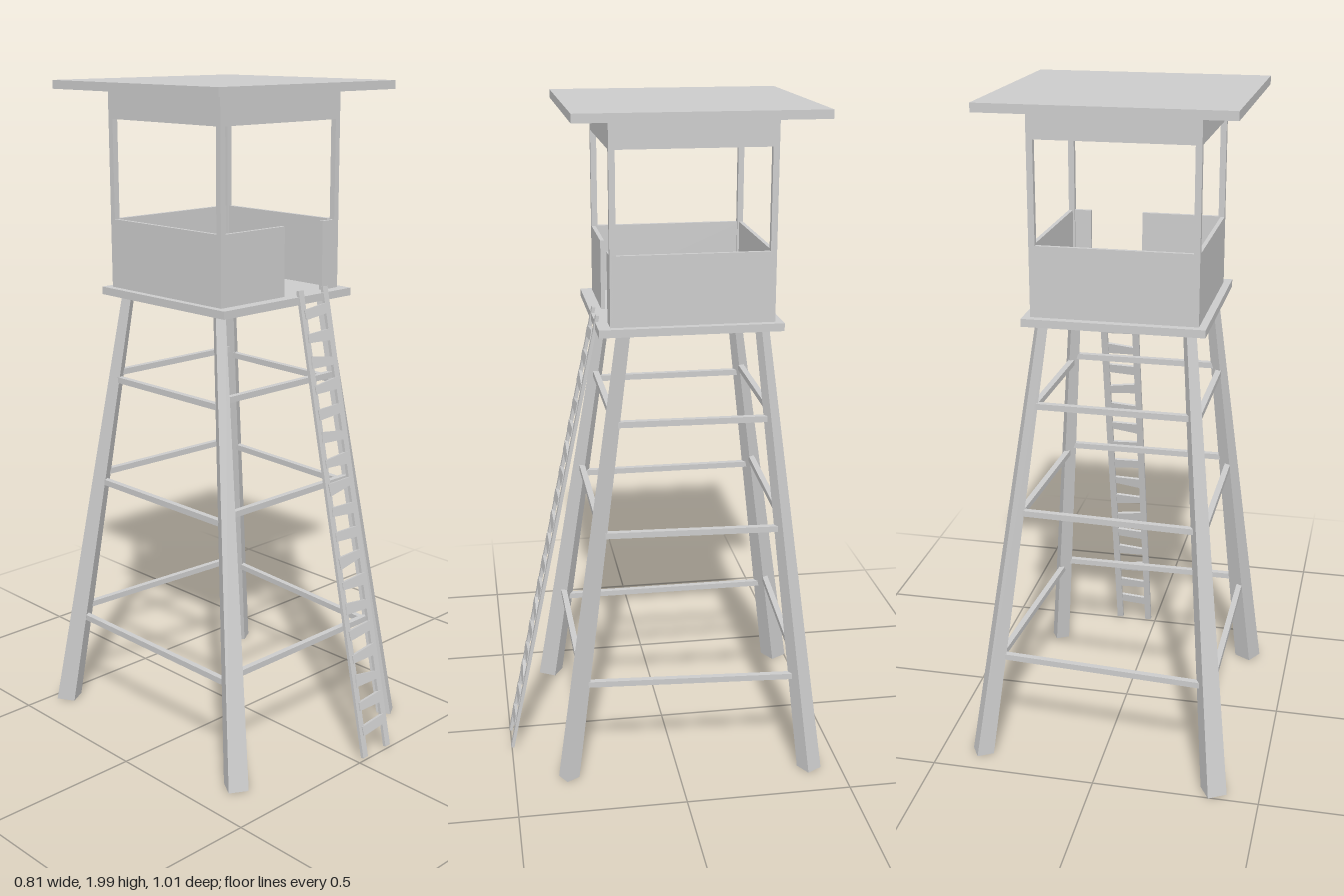
import * as THREE from 'three';

const mat = new THREE.MeshStandardMaterial({ color: 0xcccccc, flatShading: true });
const V = (x, y, z) => new THREE.Vector3(x, y, z);

export function createModel() {
  const root = new THREE.Group();
  const add = (name, geo, parent = root) => {
    const m = new THREE.Mesh(geo, mat);
    m.name = name;
    parent.add(m);
    return m;
  };
  const group = (name) => {
    const g = new THREE.Group();
    g.name = name;
    root.add(g);
    return g;
  };
  // box given by its min and max on each axis
  const block = (name, x0, x1, y0, y1, z0, z1, parent) => {
    const m = add(name, new THREE.BoxGeometry(x1 - x0, y1 - y0, z1 - z0), parent);
    m.position.set((x0 + x1) / 2, (y0 + y1) / 2, (z0 + z1) / 2);
    return m;
  };
  // square bar running between two points
  const bar = (name, a, b, w, d, parent) => {
    const m = add(name, new THREE.BoxGeometry(w, d, a.distanceTo(b)), parent);
    m.position.copy(a).add(b).multiplyScalar(0.5);
    m.lookAt(b);
    return m;
  };

  // roof and platform
  block('roof', -0.375, 0.33, 1.975, 2, -0.415, 0.29);
  block('platform', -0.287, 0.237, 1.37, 1.393, -0.32, 0.215);

  // cabin: corner posts, low walls with a door gap, band under the roof
  const cabin = group('cabin');
  const X0 = -0.265, X1 = 0.215, Z0 = -0.297, Z1 = 0.18, P = 0.018, T = 0.012;
  for (const x of [X0, X1 - P])
    for (const z of [Z0, Z1 - P]) block('cornerPost', x, x + P, 1.393, 1.975, z, z + P, cabin);
  const F = 1.393, W = 1.598;
  block('backWall', X0, X1, F, W, Z0, Z0 + T, cabin);
  block('rightWall', X0, X0 + T, F, W, Z0, Z1, cabin);
  block('leftWall', X1 - T, X1, F, W, Z0, Z1, cabin);
  block('frontWallRight', X0, -0.013, F, W, Z1 - T, Z1, cabin);
  block('frontWallLeft', 0.147, X1, F, W, Z1 - T, Z1, cabin);
  for (const z of [Z0, Z1 - T]) block('upperBand', X0, X1, 1.89, 1.975, z, z + T, cabin);
  for (const x of [X0, X1 - T]) block('upperBandSide', x, x + T, 1.89, 1.975, Z0, Z1, cabin);

  // splayed legs: foot centre, top centre, foot width, plan angle of the square section
  const A = Math.PI / 6;
  const legs = [
    { foot: V(-0.362, 0, 0.338), top: V(-0.234, 1.37, 0.14), w: 0.06, a: -A },
    { foot: V(0.311, 0, 0.335), top: V(0.19, 1.37, 0.14), w: 0.045, a: A },
    { foot: V(0.37, 0, -0.405), top: V(0.19, 1.37, -0.265), w: 0.052, a: A },
    { foot: V(-0.362, 0, -0.462), top: V(-0.234, 1.37, -0.262), w: 0.06, a: A },
  ];
  const legGroup = group('legs');
  for (const { foot, top, w, a } of legs) {
    const g = new THREE.BoxGeometry(1, 1, 1).rotateY(a);
    const p = g.attributes.position;
    for (let i = 0; i < p.count; i++) {
      const t = p.getY(i) + 0.5;
      const c = foot.clone().lerp(top, t);
      const s = THREE.MathUtils.lerp(w, 0.029, t);
      p.setXYZ(i, c.x + p.getX(i) * s, c.y + (t ? 0 : 0.006), c.z + p.getZ(i) * s);
    }
    g.computeVertexNormals();
    add('leg', g, legGroup);
  }

  // cross beams joining neighbouring legs, slightly staggered in height
  const beams = group('crossBeams');
  const at = (leg, y) => leg.foot.clone().lerp(leg.top, y / 1.37);
  legs.forEach((leg, i) => {
    const next = legs[(i + 1) % 4];
    for (const y of i % 2 ? [0.307, 0.772, 1.105] : [0.335, 0.798, 1.125])
      bar('crossBeam', at(leg, y), at(next, y), 0.018, 0.018, beams);
  });

  // leaning ladder with rough wedge-shaped rungs
  const ladder = group('ladder');
  const low = V(0, 0.016, 0.498), high = V(0, 1.41, 0.207);
  for (const x of [0.024, 0.127])
    bar('ladderRail', low.clone().setX(x), high.clone().setX(x), 0.021, 0.01, ladder);
  const lean = Math.atan2(low.z - high.z, high.y - low.y);
  for (let i = 0; i < 18; i++) {
    const g = new THREE.BoxGeometry(0.1, 0.03, 0.01);
    const p = g.attributes.position;
    const flip = Math.sin(i * 2.4);
    for (let k = 0; k < p.count; k++) {
      const side = Math.sign(p.getX(k));
      p.setY(k, p.getY(k) * (1 + 0.25 * side * flip));
    }
    g.computeVertexNormals();
    const rung = add('ladderRung', g, ladder);
    const t = (0.1 + i * 0.0732 - low.y) / (high.y - low.y);
    rung.position.lerpVectors(low, high, t).setX(0.0755);
    rung.position.z += 0.003;
    rung.rotation.set(-lean, 0, 0.1 * Math.sin(i * 1.9 + 1));
  }
  return root;
}
